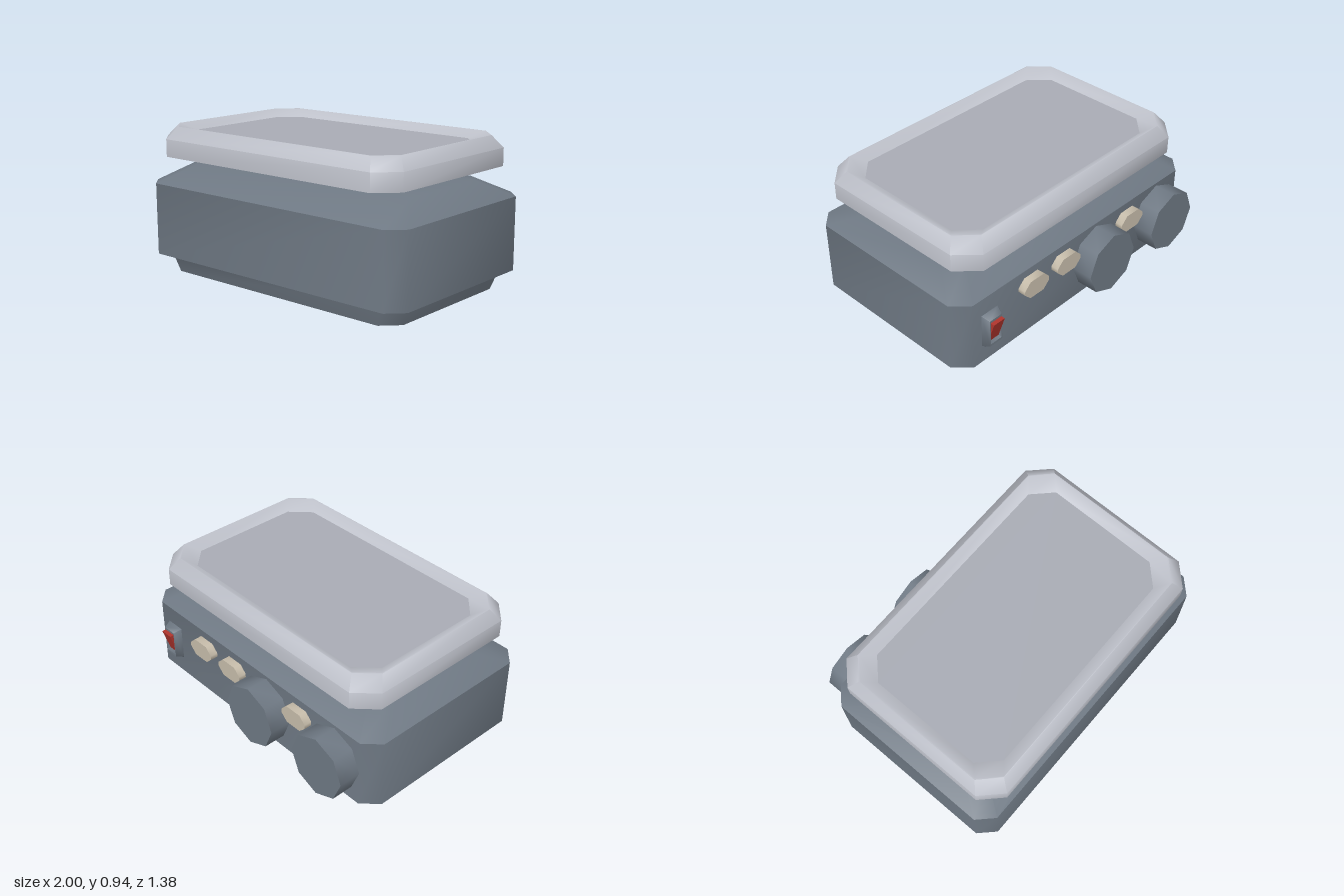
import * as THREE from 'three';
import { toCreasedNormals } from 'three/addons/utils/BufferGeometryUtils.js';

const mat = (name, color) => {
  const m = new THREE.MeshStandardMaterial({ color });
  m.name = name;
  return m;
};

// Stack of chamfered rectangles: each ring is [halfX, halfZ, cornerCut, y]
function loft(rings, capBottom = true, capTop = true) {
  const pts = rings.map(([x, z, c, y]) => [
    [x, -z + c], [x, z - c], [x - c, z], [-x + c, z],
    [-x, z - c], [-x, -z + c], [-x + c, -z], [x - c, -z],
  ].map(([px, pz]) => [px, y, pz]));
  const out = [];
  const tri = (a, b, c) => out.push(...a, ...b, ...c);
  for (let i = 0; i < pts.length - 1; i++) {
    for (let j = 0; j < 8; j++) {
      const k = (j + 1) % 8;
      tri(pts[i][j], pts[i + 1][j], pts[i][k]);
      tri(pts[i][k], pts[i + 1][j], pts[i + 1][k]);
    }
  }
  const low = pts[0], high = pts[pts.length - 1];
  for (let j = 1; j < 7; j++) {
    if (capBottom) tri(low[0], low[j], low[j + 1]);
    if (capTop) tri(high[0], high[j + 1], high[j]);
  }
  const g = new THREE.BufferGeometry();
  g.setAttribute('position', new THREE.Float32BufferAttribute(out, 3));
  return toCreasedNormals(g, 0.85);
}

export function createModel() {
  const group = new THREE.Group();
  const slate = mat('slate housing', 0x6e7883);
  const silver = mat('silver plate', 0xbec1ca);
  const grey = mat('grey panel', 0xa8abb4);
  const beige = mat('beige button', 0xc6bcaa);
  const red = mat('red switch', 0xb0352d);

  const add = (name, geometry, material, x = 0, y = 0, z = 0) => {
    const m = new THREE.Mesh(geometry, material);
    m.name = name;
    m.position.set(x, y, z);
    group.add(m);
    return m;
  };
  const cz = 0.07; // housing centre, leaving room for the controls behind

  // Housing
  add('foot', loft([[0.9, 0.53, 0.1, 0], [0.94, 0.555, 0.1, 0.115]]), slate, 0, 0, cz);
  add('body', loft([
    [1, 0.62, 0.095, 0.115], [1, 0.62, 0.095, 0.57], [0.85, 0.41, 0.095, 0.68],
  ]), slate, 0, 0, cz);
  add('neck', loft([[0.7, 0.28, 0.09, 0.68], [0.87, 0.51, 0.11, 0.75]]), slate, 0, 0, cz);

  // Weighing plate with a shallow dished top
  add('plate', loft([
    [0.93, 0.61, 0.125, 0.75], [0.93, 0.61, 0.125, 0.86],
    [0.875, 0.55, 0.115, 0.935], [0.87, 0.545, 0.115, 0.935], [0.8, 0.48, 0.12, 0.89],
  ], true, false), silver, 0, 0, cz);
  add('platePanel', loft([[0.8, 0.48, 0.12, 0.885], [0.8, 0.48, 0.12, 0.89]]), grey, 0, 0, cz);

  // Eight-sided knobs on the back
  const back = -0.55;
  const knob = toCreasedNormals(
    new THREE.CylinderGeometry(0.2025, 0.2025, 0.15, 8).rotateX(-Math.PI / 2), 0.85);
  for (const x of [-0.705, -0.125]) add('knob', knob, slate, x, 0.348, back - 0.065);

  // Small push buttons
  const button = loft([[0.1, 0.058, 0.045, -0.01], [0.1, 0.058, 0.045, 0.05]]).rotateX(-Math.PI / 2);
  for (const x of [-0.415, 0.17, 0.445]) add('button', button, beige, x, 0.462, back);

  // Power switch: hollow bezel with a tilted rocker
  add('switchBezel', loft([
    [0.063, 0.112, 0.002, -0.005], [0.063, 0.112, 0.002, 0], [0.047, 0.093, 0.002, 0.05],
    [0.042, 0.078, 0.002, 0.05], [0.042, 0.078, 0.002, 0.015],
  ]).rotateX(-Math.PI / 2), slate, 0.778, 0.344, back);
  const rocker = new THREE.BoxGeometry(0.084, 0.154, 0.07).toNonIndexed();
  const p = rocker.attributes.position;
  for (let i = 0; i < p.count; i++) {
    if (p.getY(i) < 0 && p.getZ(i) < 0) p.setZ(i, 0.015);
  }
  rocker.computeVertexNormals();
  add('switchRocker', rocker, red, 0.778, 0.344, back - 0.041);

  return group;
}
